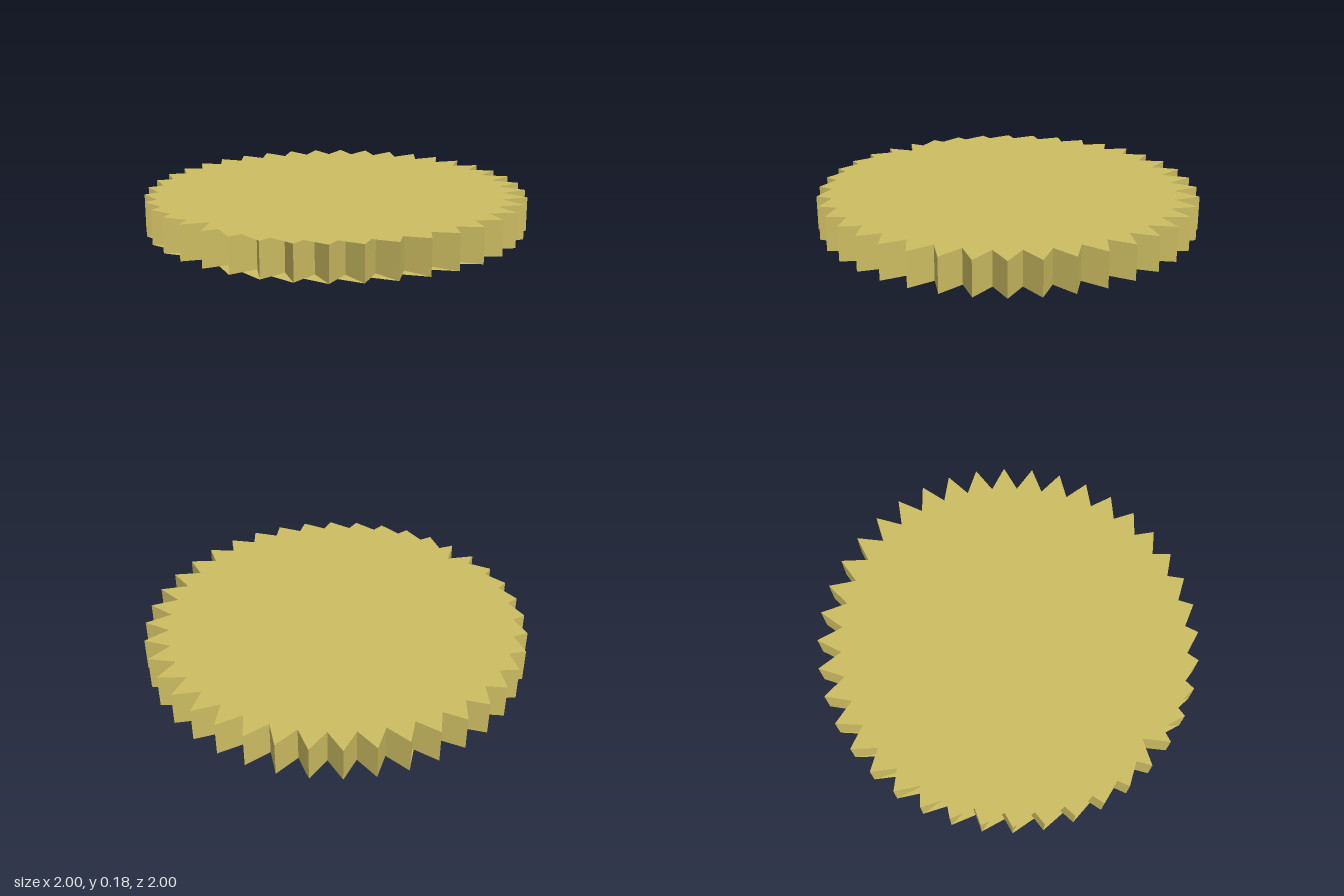
import * as THREE from 'three';

const TEETH = 40, TIP = 1, ROOT = 0.875, HEIGHT = 0.18;
const FAN_START = 33; // root corner from which both caps fan out (148.5 degrees)

// Double-sided because the thin webs across the notches show from both sides
const brass = new THREE.MeshStandardMaterial({ color: 0xcdbd62, side: THREE.DoubleSide });
brass.name = 'brass';

// Outline corner i: tips at even steps, roots at odd steps
function corner(i, y) {
  const a = (i * Math.PI) / TEETH;
  const r = i % 2 ? ROOT : TIP;
  return [r * Math.cos(a), y, r * Math.sin(a)];
}

function flatMesh(name, points) {
  const geometry = new THREE.BufferGeometry();
  geometry.setAttribute('position', new THREE.Float32BufferAttribute(points.flat(), 3));
  geometry.computeVertexNormals();
  const mesh = new THREE.Mesh(geometry, brass);
  mesh.name = name;
  return mesh;
}

export function createModel() {
  const group = new THREE.Group();
  group.name = 'toothedDisc';
  const n = TEETH * 2;
  const wall = [], top = [], bottom = [];

  // Zigzag rim of the teeth
  for (let i = 0; i < n; i++) {
    const b0 = corner(i, 0), b1 = corner(i + 1, 0);
    const t0 = corner(i, HEIGHT), t1 = corner(i + 1, HEIGHT);
    wall.push(b0, t0, b1, b1, t0, t1);
  }

  // Caps fan out from one root, partly webbing the notches beside it
  for (let k = 1; k < n - 1; k++) {
    const i = FAN_START + k;
    top.push(corner(FAN_START, HEIGHT), corner(i + 1, HEIGHT), corner(i, HEIGHT));
    bottom.push(corner(FAN_START, 0), corner(i, 0), corner(i + 1, 0));
  }

  group.add(flatMesh('teethRim', wall), flatMesh('topFace', top), flatMesh('bottomFace', bottom));
  return group;
}
